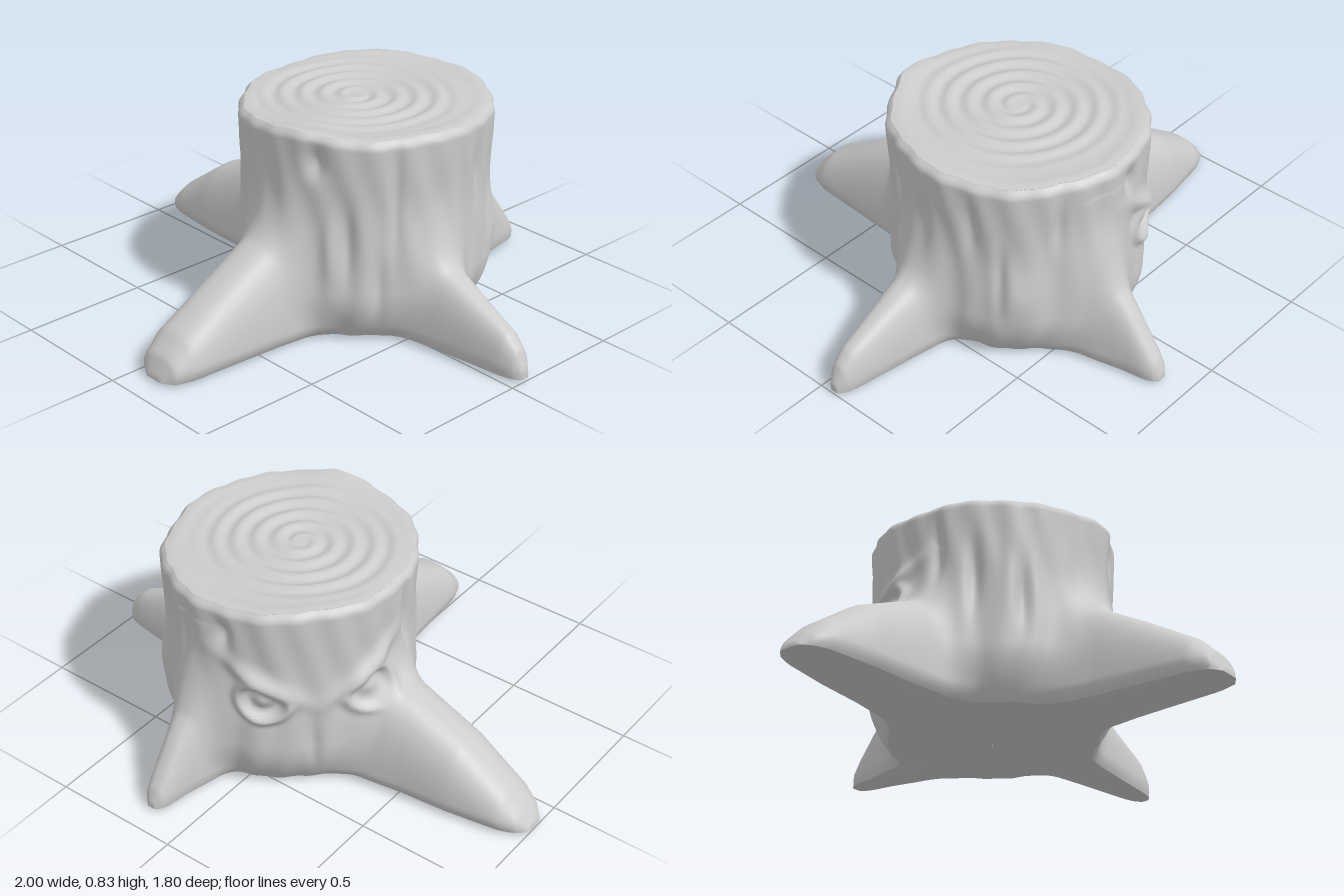
import * as THREE from 'three';

const CX = 0.1, CZ = -0.145, FLOOR = 0.015, SEGS = 500;
const bell = (v, w) => Math.exp(-(v / w) * (v / w));
const wrap = a => Math.atan2(Math.sin(a), Math.cos(a));
const rad = THREE.MathUtils.degToRad;

// Each root: axis start and tip (x, z), then stations of distance, crest height, half width
const roots = [
  { from: [0.1, -0.145], to: [0.11, 0.9], st: [[0.3, 0.56, 0.19], [0.5, 0.44, 0.165], [0.565, 0.39, 0.155], [0.745, 0.29, 0.14], [0.945, 0.17, 0.125], [1.015, 0.1, 0.1], [1.045, 0.03, 0.05]] },
  { from: [0.1, -0.16], to: [-1, -0.135], st: [[0.3, 0.52, 0.2], [0.5, 0.41, 0.175], [0.6, 0.37, 0.16], [0.8, 0.28, 0.145], [1.0, 0.14, 0.115], [1.06, 0.08, 0.09], [1.1, 0.03, 0.05]] },
  { from: [0.1, -0.085], to: [1, -0.065], st: [[0.3, 0.44, 0.15], [0.5, 0.32, 0.11], [0.65, 0.25, 0.085], [0.82, 0.17, 0.06], [0.87, 0.12, 0.045], [0.9, 0.05, 0.02]] },
  { from: [0.17, -0.145], to: [0.165, -0.9], st: [[0.3, 0.66, 0.14], [0.5, 0.43, 0.1], [0.555, 0.33, 0.085], [0.62, 0.25, 0.068], [0.7, 0.14, 0.055], [0.735, 0.09, 0.042], [0.755, 0.04, 0.02]] },
].map(r => {
  const dx = r.to[0] - r.from[0], dz = r.to[1] - r.from[1], len = Math.hypot(dx, dz);
  return { ...r, dx: dx / len, dz: dz / len };
});

// Bark marks: angle in degrees, height, width, length, depth (negative cuts in)
const marks = [
  [67, 0.72, 0.035, 0.06, -0.03], [150, 0.48, 0.03, 0.16, -0.025], [127, 0.42, 0.025, 0.12, -0.02],
  [134, 0.5, 0.03, 0.14, 0.012], [52, 0.4, 0.03, 0.14, -0.02], [60, 0.38, 0.03, 0.13, 0.014],
  [30, 0.55, 0.025, 0.2, -0.02], [22, 0.35, 0.04, 0.15, 0.015], [38, 0.25, 0.03, 0.12, -0.018],
  [318, 0.32, 0.07, 0.13, 0.025], [326, 0.4, 0.025, 0.14, -0.02], [300, 0.62, 0.025, 0.1, -0.022],
  [340, 0.6, 0.03, 0.12, -0.012], [5, 0.58, 0.04, 0.12, -0.01], [283, 0.6, 0.03, 0.12, -0.016],
  [168, 0.6, 0.025, 0.15, -0.018], [262, 0.7, 0.03, 0.05, -0.025], [222, 0.22, 0.025, 0.1, -0.014],
  [105, 0.6, 0.05, 0.1, 0.008],
];

// Scowling eye: raised lid ring, sunken socket, eyeball and slanting brow
function eye(a, y, centre, inward) {
  const u = wrap(a - rad(centre)) * 0.47 * inward, v = y - 0.44;
  if (Math.hypot(u, v) > 0.3) return 0;
  const q = Math.hypot(u / 0.095, v / 0.085);
  const slant = v - 0.04 + 0.55 * u;
  const below = 1 / (1 + Math.exp(slant / 0.008));
  const lid = 0.028 * bell(q - 1, 0.25);
  const socket = -0.045 * bell(q, 0.85) + 0.05 * bell(q, 0.48);
  const brow = 0.035 * bell(slant - 0.03, 0.04) * bell(u, 0.13);
  return (lid + socket) * below + brow;
}

function trunkRadius(a, y, top) {
  let r = 1 / Math.hypot(Math.cos(a) / 0.465, Math.sin(a) / 0.485);
  r -= 0.012 * bell(y - 0.52, 0.2);
  r -= 0.09 * Math.max(0, 1 - y / 0.22) ** 2;
  r -= 0.022 * Math.max(0, 1 - (top - y) / 0.03) ** 2;
  r += 0.004 * Math.sin(9 * a + 2 * y) + 0.003 * Math.sin(23 * a + 3 * Math.sin(5 * y));
  for (const [deg, my, w, h, depth] of marks)
    r += depth * bell(wrap(a - rad(deg)) * 0.47, w) * bell(y - my, h);
  return r + eye(a, y, 244, -1) + eye(a, y, 196, 1);
}

// Approximate distance to one root with a rounded, flat-bottomed section
function rootDistance(root, x, y, z) {
  const px = x - root.from[0], pz = z - root.from[1], st = root.st;
  const s = px * root.dx + pz * root.dz, lat = Math.abs(px * root.dz - pz * root.dx);
  const end = st[st.length - 1];
  if (s < 0) return 1;
  if (s > end[0]) return Math.hypot(s - end[0], Math.max(0, lat - end[2])) + 0.001;
  let i = 1;
  while (i < st.length - 1 && st[i][0] < s) i++;
  const k = Math.max(0, (s - st[i - 1][0]) / (st[i][0] - st[i - 1][0]));
  const h = THREE.MathUtils.lerp(st[i - 1][1], st[i][1], k);
  let w = THREE.MathUtils.lerp(st[i - 1][2], st[i][2], k);
  w *= 1 - 0.22 * Math.max(0, 1 - y / 0.07) ** 2;
  const n = ((lat / w) ** 2.6 + (y / h) ** 2.6) ** (1 / 2.6);
  return (n - 1) * Math.min(w, h);
}

function smoothMin(a, b, k) {
  const h = Math.max(0, k - Math.abs(a - b)) / k;
  return Math.min(a, b) - h * h * k * 0.25;
}

// Outermost radius of the blended trunk and roots at a given angle and height
function outerRadius(a, y, top) {
  const c = Math.cos(a), s = Math.sin(a), trunk = trunkRadius(a, y, top);
  if (y > 0.72) return trunk;
  const near = roots.filter(r => r.dx * c + r.dz * s > 0.3);
  const field = r => near.reduce(
    (d, root) => smoothMin(d, rootDistance(root, CX + r * c, y, CZ + r * s), 0.09), r - trunk);
  let hi = 1.15;
  while (hi > 0.2 && field(hi) > 0) hi -= 0.012;
  let lo = hi;
  hi += 0.012;
  for (let i = 0; i < 9; i++) {
    const mid = (lo + hi) / 2;
    if (field(mid) > 0) hi = mid; else lo = mid;
  }
  return lo;
}

// Angles gather around the four roots
const angles = Array.from({ length: SEGS }, (_, i) => {
  const a = i / SEGS * Math.PI * 2;
  return a - 0.45 * Math.sin(4 * a) / 4;
});
const topHeight = a => 0.812 + 0.007 * Math.sin(2 * a - 0.6) + 0.004 * Math.sin(5 * a + 1) + 0.012 * bell(wrap(a - rad(75)), 0.25);

// Closed rings of vertices joined into a smooth skin
function skin(name, rows, point, material) {
  const pos = [], index = [];
  for (let j = 0; j <= rows; j++)
    for (let i = 0; i < SEGS; i++) {
      const [r, y] = point(angles[i], j / rows, i);
      pos.push(CX + r * Math.cos(angles[i]), y, CZ + r * Math.sin(angles[i]));
    }
  for (let j = 0; j < rows; j++)
    for (let i = 0; i < SEGS; i++) {
      const n = (i + 1) % SEGS, a = j * SEGS + i, b = j * SEGS + n, c = a + SEGS, d = b + SEGS;
      index.push(a, c, b, b, c, d);
    }
  const g = new THREE.BufferGeometry();
  g.setAttribute('position', new THREE.Float32BufferAttribute(pos, 3));
  g.setIndex(index);
  g.computeVertexNormals();
  const mesh = new THREE.Mesh(g, material);
  mesh.name = name;
  return mesh;
}

export function createModel() {
  const group = new THREE.Group();
  group.name = 'treeStump';
  const wood = new THREE.MeshStandardMaterial({ color: 0xcccccc });

  // Bark wall with face and spreading roots
  group.add(skin('barkAndRoots', 84, (a, v) => {
    const top = topHeight(a), y = FLOOR + (top - FLOOR) * v;
    return [outerRadius(a, y, top), y];
  }, wood));

  // Sawn top with a spiral of growth rings
  const rim = angles.map(a => trunkRadius(a, topHeight(a), topHeight(a)));
  group.add(skin('sawnTop', 36, (a, v, i) => {
    const r = Math.max(0.002, rim[i] * (1 - v));
    const sx = r * Math.cos(a) + 0.03, sz = r * Math.sin(a) - 0.025;
    const q = Math.hypot(sx, sz), turn = Math.atan2(sz, sx);
    const fade = THREE.MathUtils.smoothstep(q, 0.01, 0.06) * (1 - THREE.MathUtils.smoothstep(q, 0.3, 0.42));
    const spiral = 0.006 * Math.sin(q / 0.075 * Math.PI * 2 - turn) * fade;
    const level = THREE.MathUtils.lerp(0.81, topHeight(a), (1 - v) ** 3);
    return [r, level + spiral + 0.004 * bell(v - 0.06, 0.05)];
  }, wood));

  // Flat underside
  const foot = angles.map(a => outerRadius(a, FLOOR, topHeight(a)));
  group.add(skin('underside', 4, (a, v, i) =>
    [Math.max(0.002, foot[i] * v), FLOOR - 0.012 * (1 - v ** 4)], wood));
  return group;
}
